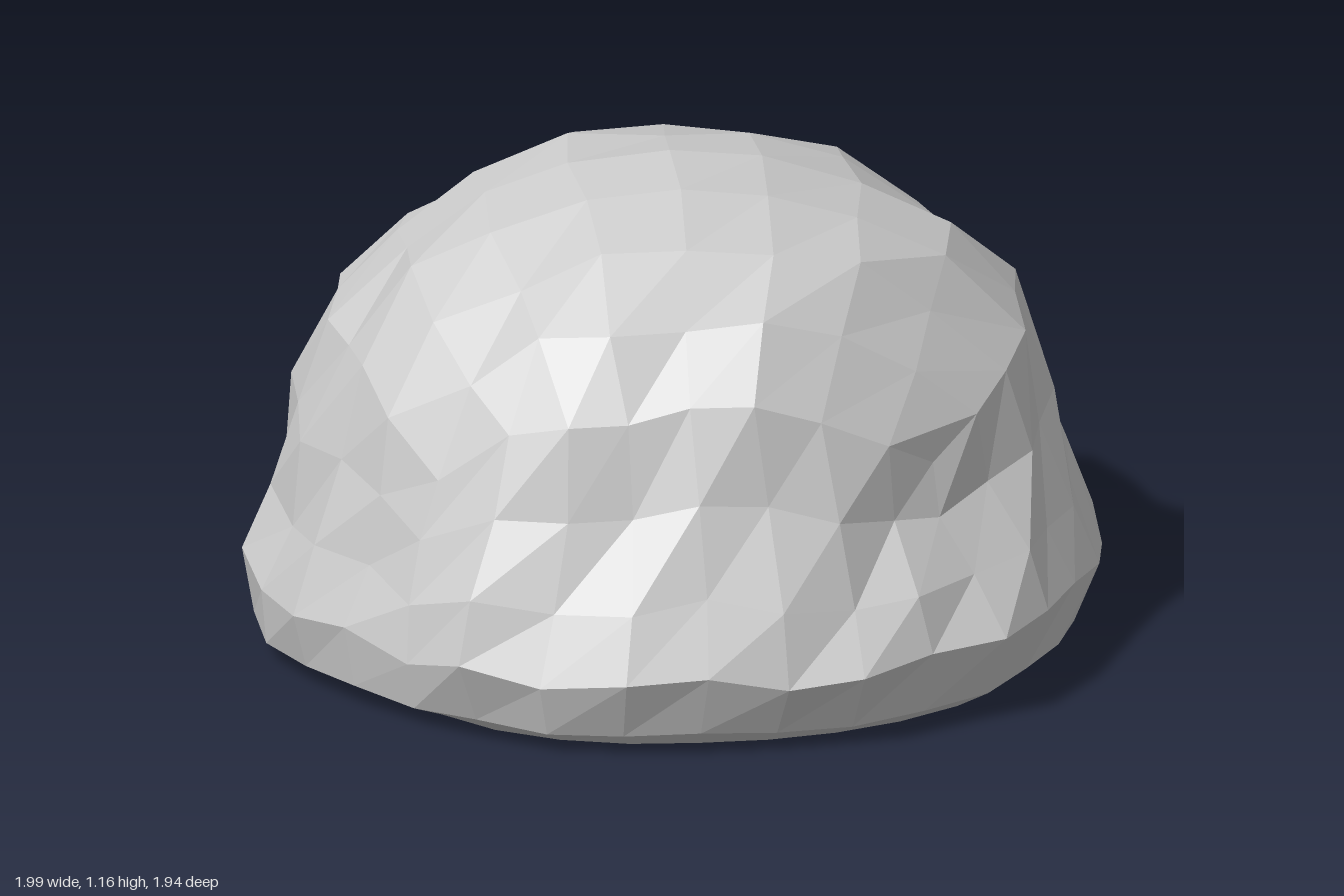
import * as THREE from 'three';

// Dome profile: height and radius toward +x, +z, -x, -z at rising elevations
const PROFILE = [
  // elevation, y, +x, +z, -x, -z
  [0, 0, 0.86, 0.84, 0.86, 0.9],
  [3, 0.05, 0.95, 0.93, 0.98, 0.96],
  [11, 0.19, 1.0, 0.99, 1.0, 1.0],
  [21, 0.35, 0.93, 0.91, 0.925, 0.9],
  [30, 0.5, 0.88, 0.83, 0.89, 0.84],
  [38, 0.65, 0.86, 0.78, 0.86, 0.81],
  [46, 0.8, 0.8, 0.72, 0.77, 0.76],
  [55, 0.93, 0.66, 0.62, 0.64, 0.65],
  [64, 1.04, 0.5, 0.48, 0.5, 0.5],
  [75, 1.125, 0.28, 0.27, 0.32, 0.26],
  [90, 1.165, 0, 0, 0, 0],
];

// Plan outline of the skirt every 15 degrees, from +x toward +z
const OUTLINE = [1, 0.985, 0.99, 1.02, 1, 0.98, 0.97, 0.985, 0.99, 0.96, 0.965, 0.99,
  0.99, 0.965, 0.96, 0.96, 0.96, 0.97, 0.96, 1.01, 1, 0.965, 0.965, 1.01];

// Chips and bulges: x, y, z, reach, depth (negative pushes outward)
const DENTS = [
  [-0.8, 0.55, -0.45, 0.28, 0.06], [0.6, 0.5, 0.6, 0.25, 0.06],
  [-0.15, 0.55, 0.8, 0.22, 0.03], [0.5, 0.85, 0.45, 0.2, 0.05],
  [0.5, 0.5, -0.7, 0.3, 0.06], [0.1, 0.48, -0.85, 0.25, 0.04],
  [0.8, 0.35, -0.4, 0.25, -0.04], [-0.55, 0.35, 0.7, 0.22, -0.03],
  [0.25, 0.78, 0.7, 0.2, -0.03], [-0.5, 0.4, -0.7, 0.25, -0.02],
];

const ROWS = [0, 3, 11, 21, 33, 45];
const SEGMENTS = 8;

function profileAt(elevation, angle) {
  let i = 0;
  while (i < PROFILE.length - 2 && PROFILE[i + 1][0] < elevation) i++;
  const a = PROFILE[i], b = PROFILE[i + 1];
  const t = (elevation - a[0]) / (b[0] - a[0]);
  const mix = (k) => a[k] + (b[k] - a[k]) * t;
  const c = Math.cos(angle), s = Math.sin(angle);
  const radius = c * c * mix(c > 0 ? 2 : 4) + s * s * mix(s > 0 ? 3 : 5);
  return { y: mix(1), radius };
}

function outlineAt(angle) {
  const k = ((angle / (Math.PI * 2) + 1) % 1) * 24;
  const i = Math.floor(k) % 24;
  return THREE.MathUtils.lerp(OUTLINE[i], OUTLINE[(i + 1) % 24], k - Math.floor(k));
}

function shapePoint(p) {
  const row = Math.round((p.y + 0.5) * 5);
  const x = Math.tan(p.x * Math.PI / 4), z = Math.tan(p.z * Math.PI / 4);
  let angle = Math.atan2(z, x);

  // Flat underside
  const inset = row === 0 ? Math.max(Math.abs(p.x), Math.abs(p.z)) : 1;

  // Low rows stay level; higher rows follow the rounded grid
  const rise = Math.tan(THREE.MathUtils.degToRad(ROWS[row]));
  const round = THREE.MathUtils.radToDeg(Math.atan2(rise, Math.hypot(x, z)));
  const elevation = row === 0 ? 0 : THREE.MathUtils.lerp(ROWS[row], round, (row / 5) ** 2);
  const { y, radius } = profileAt(elevation, angle);

  const skirt = THREE.MathUtils.clamp(1 - (y - 0.2) / 0.5, 0, 1);
  const r = radius * inset * THREE.MathUtils.lerp(1, outlineAt(angle), skirt);
  p.set(r * Math.cos(angle), y, r * Math.sin(angle));
  if (row === 0) return p;

  // Uneven facets, chips and bulges
  const { x: px, z: pz } = p;
  const wobble = 0.02 * Math.min(1, y / 0.2);
  for (const [dx, dy, dz, reach, depth] of DENTS) {
    const d = Math.hypot(px - dx, y - dy, pz - dz);
    if (d < reach) {
      const k = 1 - depth * (1 - (d / reach) ** 2);
      p.x *= k;
      p.z *= k;
    }
  }
  p.x += 0.7 * wobble * Math.sin(17 * pz + 13 * y + 1);
  p.z += 0.7 * wobble * Math.sin(19 * px - 11 * y + 2);
  p.y += wobble * Math.sin(11 * px + 9 * pz) * (y > 1 ? 0.3 : 1.2);
  return p;
}

export function createModel() {
  const group = new THREE.Group();
  group.name = 'boulder';

  // A gridded block rounded into a dome, keeping four-sided facets
  const geometry = new THREE.BoxGeometry(2, 1, 2, SEGMENTS, 5, SEGMENTS);
  const position = geometry.attributes.position;
  const p = new THREE.Vector3();
  for (let i = 0; i < position.count; i++) {
    shapePoint(p.fromBufferAttribute(position, i));
    position.setXYZ(i, p.x, p.y, p.z);
  }
  const faceted = geometry.toNonIndexed();
  faceted.computeVertexNormals();

  const rock = new THREE.Mesh(
    faceted,
    new THREE.MeshStandardMaterial({ color: 0xcccccc, flatShading: true })
  );
  rock.name = 'rock';
  group.add(rock);
  return group;
}
